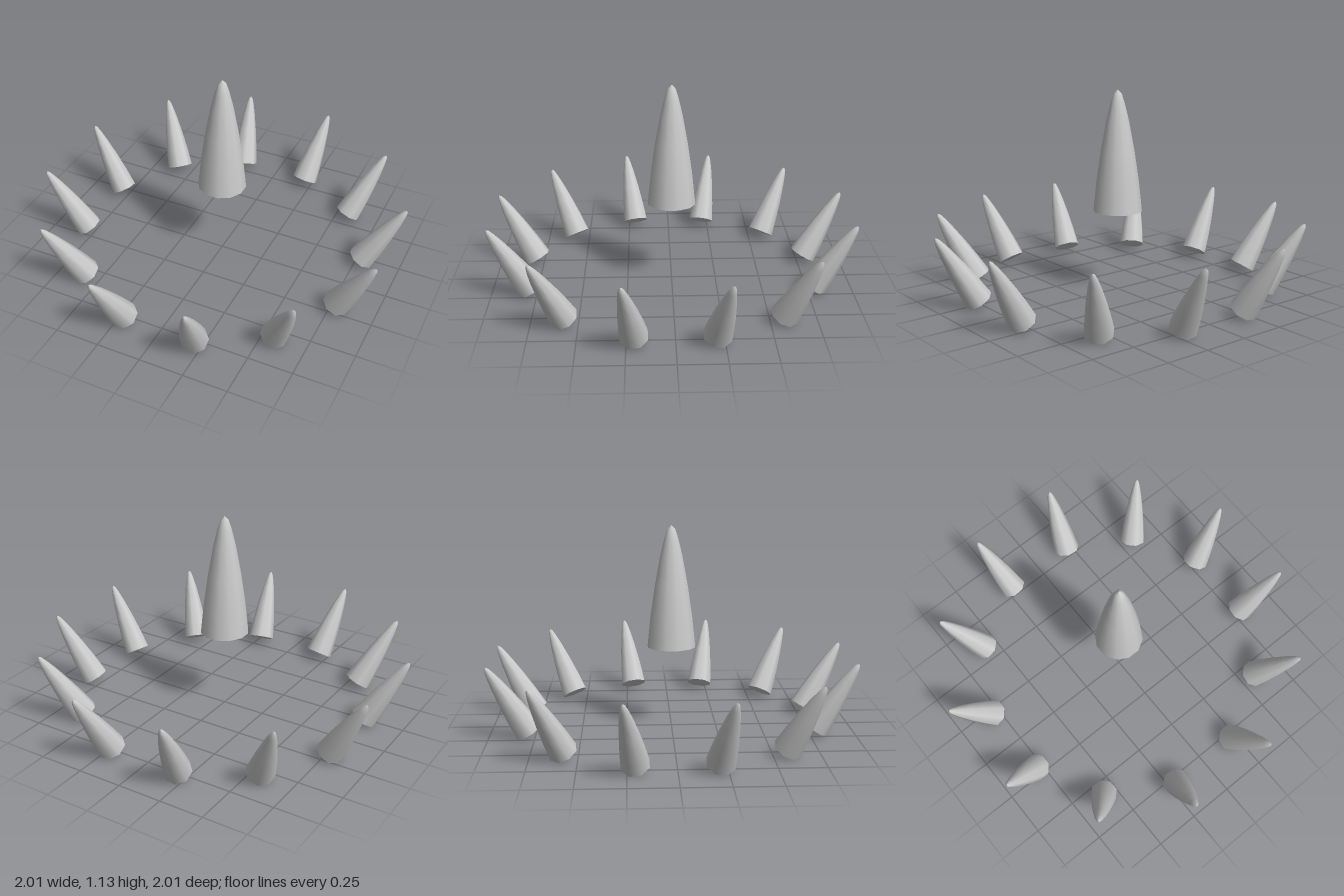
import * as THREE from 'three';

const material = new THREE.MeshStandardMaterial({ color: 0xcccccc, side: THREE.DoubleSide });

// Spike standing on its base: smooth tapering sides with a blunt tip, plus a flat base disc.
function makeSpike(name, radius, length, sides) {
  const taper = [[1, 0], [0.87, 0.25], [0.69, 0.5], [0.46, 0.75], [0.29, 0.89], [0.16, 0.97], [0, 1]];
  const phase = Math.PI / sides;
  const profile = taper.map(([r, h]) => new THREE.Vector2(r * radius, h * length));
  const group = new THREE.Group();
  group.name = name;

  const shell = new THREE.Mesh(new THREE.LatheGeometry(profile, sides, phase), material);
  shell.name = name + 'Shell';

  const disc = new THREE.CircleGeometry(radius, sides, phase);
  disc.rotateX(Math.PI / 2);
  const base = new THREE.Mesh(disc, material);
  base.name = name + 'Base';

  group.add(shell, base);
  return group;
}

export function createModel() {
  const model = new THREE.Group();
  model.name = 'spikeRing';

  // Large upright spike in the middle
  const centre = makeSpike('centreSpike', 0.136, 0.675, 12);
  centre.position.y = 0.455;
  model.add(centre);

  // Ring of twelve small spikes leaning outwards
  const up = new THREE.Vector3(0, 1, 0);
  for (let i = 0; i < 12; i++) {
    const a = ((i + 0.5) / 12) * Math.PI * 2;
    const foot = new THREE.Vector3(0.81 * Math.cos(a), 0.038, 0.81 * Math.sin(a));
    const tip = new THREE.Vector3(1.035 * Math.cos(a), 0.407, 1.035 * Math.sin(a));
    const lean = tip.sub(foot);
    const spike = makeSpike('ringSpike' + (i + 1), 0.077, lean.length(), 8);
    spike.position.copy(foot);
    spike.quaternion.setFromUnitVectors(up, lean.normalize());
    model.add(spike);
  }
  return model;
}
